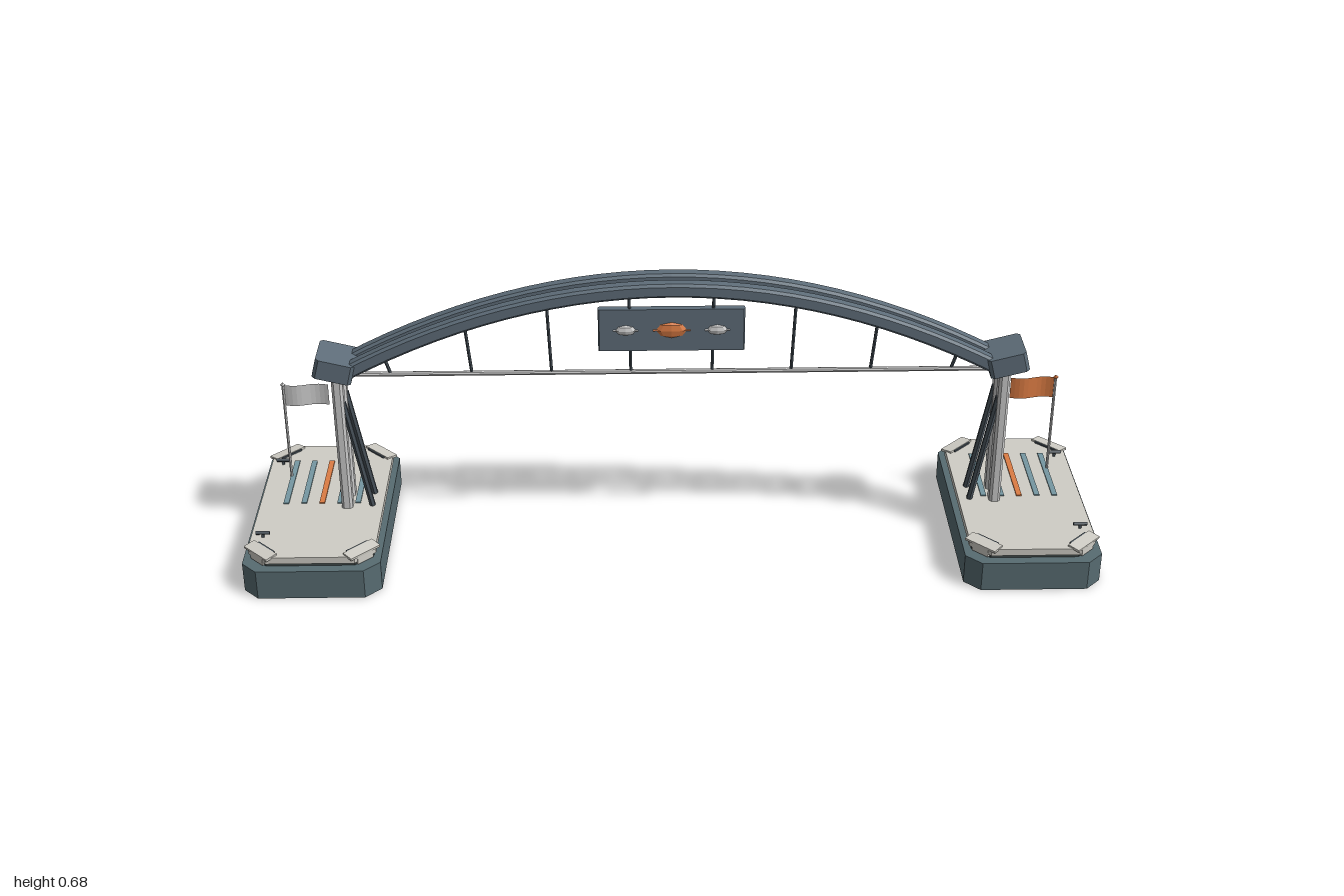
import * as THREE from 'three';

const mat = (color, extra = {}) => {
  const m = new THREE.MeshStandardMaterial({ flatShading: true, ...extra });
  m.color.set(color);
  return m;
};
const SLATE = mat(0x5f6e7a), TEAL = mat(0x586c72), DARK = mat(0x3e4848), DECK = mat(0xd0cec6);
const PALE = mat(0xcccccc), ORANGE = mat(0xdc7c44), BLUE = mat(0x7698a2), STEEL = mat(0x465058);
const FLAG_ORANGE = mat(0xdc7c44, { side: THREE.DoubleSide });
const FLAG_PALE = mat(0xcccccc, { side: THREE.DoubleSide });

function add(parent, name, geometry, material, x = 0, y = 0, z = 0) {
  const mesh = new THREE.Mesh(geometry, material);
  mesh.name = name;
  mesh.position.set(x, y, z);
  parent.add(mesh);
  return mesh;
}

// Upright prism with cut corners, standing on its own y = 0
function prism(w, d, cut, h) {
  const a = w / 2, b = d / 2;
  const shape = new THREE.Shape([
    [a - cut, -b], [a, cut - b], [a, b - cut], [a - cut, b],
    [cut - a, b], [-a, b - cut], [-a, cut - b], [cut - a, -b],
  ].map(([x, y]) => new THREE.Vector2(x, y)));
  return new THREE.ExtrudeGeometry(shape, { depth: h, bevelEnabled: false }).rotateX(-Math.PI / 2);
}

// Round bar between two points
function bar(parent, name, from, to, r, material, sides = 6) {
  const a = new THREE.Vector3(...from), b = new THREE.Vector3(...to);
  const mesh = add(parent, name, new THREE.CylinderGeometry(r, r, a.distanceTo(b), sides), material);
  mesh.position.copy(a).add(b).multiplyScalar(0.5);
  mesh.quaternion.setFromUnitVectors(new THREE.Vector3(0, 1, 0), b.sub(a).normalize());
  return mesh;
}

const archY = x => 0.667 - 0.36 * x * x;   // centre line of the arch

// One of the two raised platforms with its stripes, corner plates and cleats
function platform(s) {
  const g = new THREE.Group();
  g.name = s > 0 ? 'leftPlatform' : 'rightPlatform';
  g.position.x = s * 0.84;
  add(g, 'foundation', prism(0.32, 0.55, 0.036, 0.073), TEAL);
  add(g, 'shadowBand', prism(0.285, 0.5, 0.04, 0.014), DARK, 0, 0.072);
  add(g, 'deck', prism(0.296, 0.515, 0.045, 0.017), DECK, 0, 0.083);
  for (let i = 0; i < 5; i++) {
    add(g, 'deckStripe', new THREE.BoxGeometry(0.013, 0.004, 0.2), i === 2 ? ORANGE : BLUE,
      (i - 2) * 0.043, 0.101, -0.08);
  }
  for (const sx of [-1, 1]) for (const sz of [-1, 1]) {
    const corner = new THREE.Group();
    corner.name = 'cornerPlate';
    corner.position.set(sx * 0.117, 0.1, sz * 0.227);
    corner.rotation.y = Math.atan2(sx, sz);
    const plate = add(corner, 'plate', new THREE.BoxGeometry(0.085, 0.006, 0.03), DECK);
    plate.rotation.x = 0.12;
    add(corner, 'plateEdge', new THREE.BoxGeometry(0.06, 0.004, 0.004), STEEL, 0, 0.002, -0.017);
    add(corner, 'cornerBlock', new THREE.BoxGeometry(0.045, 0.02, 0.02), DECK, 0, -0.014, 0.003);
    g.add(corner);
  }
  for (const z of [-0.168, 0.168]) {
    bar(g, 'cleat', [s * 0.103, 0.112, z], [s * 0.135, 0.112, z], 0.005, STEEL, 4);
    add(g, 'cleatFoot', new THREE.BoxGeometry(0.006, 0.012, 0.004), STEEL, s * 0.119, 0.105, z);
  }
  return g;
}

// Paired columns, raking braces and the tilted cap on top
function tower(s) {
  const g = new THREE.Group();
  g.name = s > 0 ? 'leftTower' : 'rightTower';
  for (const z of [-0.028, 0.028]) {
    add(g, 'column', prism(0.026, 0.034, 0.006, 0.36), PALE, s * 0.777, 0.098, z);
    bar(g, 'brace', [s * 0.768, 0.38, z], [s * 0.718, 0.1, z], 0.0075, STEEL, 6);
  }
  const cap = add(g, 'cap', prism(0.092, 0.105, 0.008, 0.048).translate(0, -0.024, 0), SLATE, s * 0.782, 0.471, 0);
  cap.rotation.z = s * 0.25;
  return g;
}

// Flagpole with a rippled flag pointing inwards
function flagpole(s) {
  const g = new THREE.Group();
  g.name = s > 0 ? 'leftFlag' : 'rightFlag';
  g.position.set(s * 0.93, 0, -0.108);
  bar(g, 'pole', [0, 0.1, 0], [0, 0.355, 0], 0.0035, PALE, 6);
  add(g, 'finial', new THREE.OctahedronGeometry(0.007), s > 0 ? ORANGE : PALE, 0, 0.356, 0);
  const cloth = new THREE.PlaneGeometry(0.108, 0.055, 10, 1);
  const p = cloth.attributes.position;
  for (let i = 0; i < p.count; i++) p.setZ(i, 0.005 * Math.sin((p.getX(i) + 0.054) * 58));
  add(g, 'flag', cloth, s > 0 ? FLAG_ORANGE : FLAG_PALE, -s * 0.054, 0.328, 0);
  return g;
}

// Twin arch ribs with lacing between them
function arch() {
  const g = new THREE.Group();
  g.name = 'arch';
  const half = 0.011, n = 28, upper = [], lower = [];
  for (let i = 0; i <= n; i++) {
    const x = -0.765 + 1.53 * i / n, slope = -0.72 * x, len = Math.hypot(1, slope);
    const nx = -slope / len, ny = 1 / len;
    upper.push(new THREE.Vector2(x + nx * half, archY(x) + ny * half));
    lower.push(new THREE.Vector2(x - nx * half, archY(x) - ny * half));
  }
  const ribShape = new THREE.Shape([...lower, ...upper.reverse()]);
  const rib = new THREE.ExtrudeGeometry(ribShape, {
    depth: 0.022, bevelSize: 0.006, bevelThickness: 0.006, bevelSegments: 1,
  }).translate(0, 0, -0.011);
  for (const z of [-0.028, 0.028]) add(g, 'rib', rib, SLATE, 0, 0, z);
  const bays = 16;
  for (let i = 0; i <= bays; i++) {
    const x = -0.72 + 1.44 * i / bays, x2 = x + 1.44 / bays, side = i % 2 ? 1 : -1;
    bar(g, 'rung', [x, archY(x), -0.018], [x, archY(x), 0.018], 0.004, STEEL);
    if (i < bays) bar(g, 'lacing', [x, archY(x), side * 0.014], [x2, archY(x2), -side * 0.014], 0.003, STEEL, 5);
  }
  return g;
}

// Sign panel with three faceted lozenges on the front
function sign() {
  const g = new THREE.Group();
  g.name = 'signPanel';
  g.position.set(0, 0.552, 0);
  add(g, 'panel', prism(0.34, 0.018, 0.003, 0.106).translate(0, -0.053, 0), SLATE);
  for (const [x, w, h, m] of [[0, 0.036, 0.02, ORANGE], [-0.106, 0.024, 0.013, PALE], [0.106, 0.024, 0.013, PALE]]) {
    const gem = add(g, 'lozenge', new THREE.SphereGeometry(1, 8, 4), m, x, 0, 0.009);
    gem.scale.set(w, h, 0.008);
    bar(g, 'lozengeBar', [x - w * 1.2, 0, 0.01], [x + w * 1.2, 0, 0.01], 0.002, m, 4);
  }
  return g;
}

export function createModel() {
  const model = new THREE.Group();
  model.name = 'archGateway';
  for (const s of [-1, 1]) model.add(platform(s), tower(s), flagpole(s));
  model.add(arch(), sign());

  // Straight tie under the arch and its hangers
  bar(model, 'tie', [-0.75, 0.44, 0], [0.75, 0.44, 0], 0.006, PALE, 8);
  for (const s of [-1, 1]) for (const x of [0.095, 0.28, 0.466, 0.655]) {
    const top = x * 1.03;
    bar(model, 'hanger', [s * x, 0.44, 0], [s * top, archY(top), 0], 0.004, STEEL);
  }
  return model;
}
